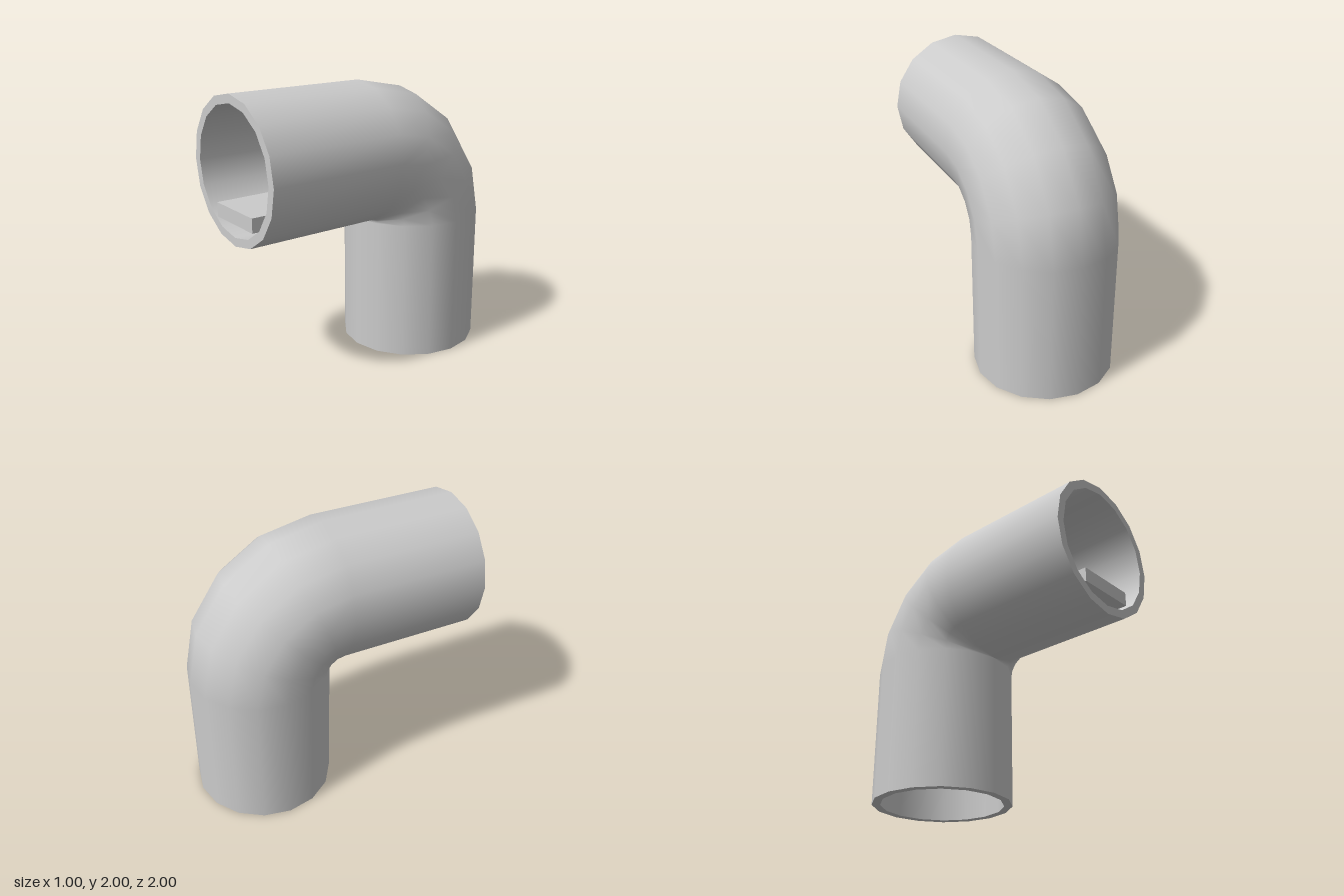
import * as THREE from 'three';

const SIDES = 16, BEND_STEPS = 4, OUTER = 0.5, INNER = 0.44, BEND = 0.5;

// Pipe wall swept from the front opening, round the bend, down to the base
function pipeWall(radius, inward) {
  const stations = [{ angle: 0, y: 0, z: 1 }];
  for (let i = 0; i <= BEND_STEPS; i++) {
    stations.push({ angle: (i / BEND_STEPS) * Math.PI / 2, y: 0, z: 0 });
  }
  stations.push({ angle: Math.PI / 2, y: -1, z: 0 });

  const positions = [], normals = [], index = [];
  const facing = inward ? -1 : 1;
  stations.forEach(({ angle, y, z }, s) => {
    const uy = Math.cos(angle), uz = -Math.sin(angle);
    for (let k = 0; k <= SIDES; k++) {
      const phi = (k / SIDES) * Math.PI * 2;
      const c = Math.cos(phi), x = Math.sin(phi);
      const reach = BEND + radius * c;
      positions.push(radius * x, 1 + y + reach * uy, z + reach * uz);
      normals.push(facing * x, facing * c * uy, facing * c * uz);
      if (s < stations.length - 1 && k < SIDES) {
        const a = s * (SIDES + 1) + k, b = a + SIDES + 1;
        if (inward) index.push(a, b, a + 1, a + 1, b, b + 1);
        else index.push(a, a + 1, b, a + 1, b + 1, b);
      }
    }
  });

  const geometry = new THREE.BufferGeometry();
  geometry.setAttribute('position', new THREE.Float32BufferAttribute(positions, 3));
  geometry.setAttribute('normal', new THREE.Float32BufferAttribute(normals, 3));
  geometry.setIndex(index);
  return geometry;
}

export function createModel() {
  const group = new THREE.Group();
  group.name = 'elbowPipe';
  const material = new THREE.MeshStandardMaterial({ color: 0xcccccc });
  const add = (name, geometry) => {
    const mesh = new THREE.Mesh(geometry, material);
    mesh.name = name;
    group.add(mesh);
    return mesh;
  };

  add('outerWall', pipeWall(OUTER, false));
  add('innerWall', pipeWall(INNER, true));

  // Flat rims closing the wall thickness at both openings
  const rim = new THREE.RingGeometry(INNER, OUTER, SIDES);
  add('frontRim', rim).position.set(0, 1.5, 1);
  add('bottomRim', rim.clone().rotateX(Math.PI / 2)).position.set(0, 0, -0.5);

  // Walkway plank along the floor of the horizontal pipe
  add('plank', new THREE.BoxGeometry(0.45, 0.1, 1)).position.set(0, 1.2, 0.5);

  return group;
}
